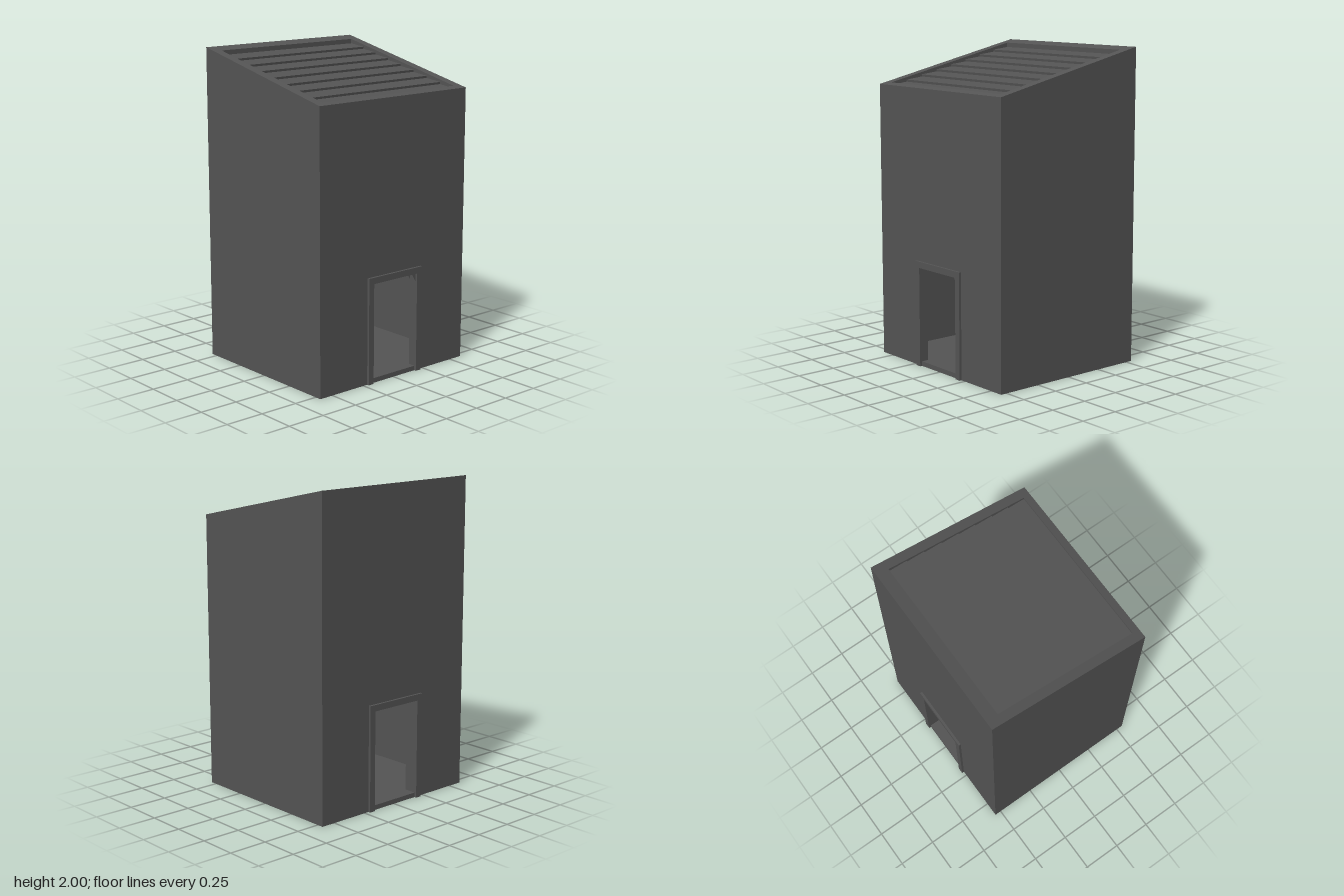
import * as THREE from 'three';

export function createModel() {
  const model = new THREE.Group();
  const grey = new THREE.MeshStandardMaterial({ color: 0x555555 });
  grey.name = 'dark grey';

  const X = 0.543, Z = 0.595, INNER_Z = 0.535;
  const INNER_LEFT = -0.463, INNER_RIGHT = 0.495;
  const SLOPE = 0.245 / (2 * X);
  const roofY = (x) => 2 - (x + X) * SLOPE;

  const add = (name, geometry, x = 0, y = 0, z = 0) => {
    const mesh = new THREE.Mesh(geometry, grey);
    mesh.name = name;
    mesh.position.set(x, y, z);
    model.add(mesh);
    return mesh;
  };
  const outline = (points) => new THREE.Shape(points.map(([a, b]) => new THREE.Vector2(a, b)));
  const extrude = (shape, depth) => new THREE.ExtrudeGeometry(shape, { depth, bevelEnabled: false });

  // Front and back walls with a sloping top
  const endWall = outline([[-X, 0], [X, 0], [X, roofY(X)], [-X, roofY(-X)]]);
  add('frontWall', extrude(endWall, Z - INNER_Z), 0, 0, INNER_Z);
  add('backWall', extrude(endWall, Z - INNER_Z), 0, 0, -Z);

  // Side walls with a doorway, their tops bent to the roof slope
  const sideWall = (name, x0, x1) => {
    const shape = outline([[-INNER_Z, 0], [INNER_Z, 0], [INNER_Z, 2], [-INNER_Z, 2]]);
    shape.holes.push(new THREE.Path([[-0.18, 0.03], [-0.18, 0.635], [0.18, 0.635], [0.18, 0.03]]
      .map(([a, b]) => new THREE.Vector2(a, b))));
    const geometry = extrude(shape, x1 - x0);
    geometry.rotateY(Math.PI / 2).translate(x0, 0, 0);
    const p = geometry.attributes.position;
    for (let i = 0; i < p.count; i++) {
      if (p.getY(i) > 1.9) p.setY(i, roofY(p.getX(i)));
    }
    geometry.computeVertexNormals();
    add(name, geometry);
  };
  sideWall('leftWall', INNER_RIGHT, X);
  sideWall('rightWall', -X, INNER_LEFT);

  // Floor slab
  add('floor', new THREE.BoxGeometry(INNER_RIGHT - INNER_LEFT, 0.03, 2 * INNER_Z),
    (INNER_LEFT + INNER_RIGHT) / 2, 0.015, 0);

  // Raised door surrounds on both sides
  const surround = outline([
    [-0.22, 0], [-0.18, 0], [-0.18, 0.635], [0.18, 0.635],
    [0.18, 0], [0.22, 0], [0.22, 0.675], [-0.22, 0.675],
  ]);
  for (const [name, x] of [['leftDoorFrame', X], ['rightDoorFrame', -X - 0.015]]) {
    add(name, extrude(surround, 0.015).rotateY(Math.PI / 2), x);
  }

  // Recessed roof boards stepping down the slope
  const COUNT = 8, pitch = (INNER_RIGHT - INNER_LEFT) / COUNT;
  for (let i = 0; i < COUNT; i++) {
    const x = INNER_LEFT + pitch * (i + 0.5);
    const board = add('roofBoard', new THREE.BoxGeometry(pitch + 0.002, 0.03, 2 * INNER_Z),
      x, roofY(x) - 0.037, 0);
    board.rotation.z = -0.11;
  }

  return model;
}
